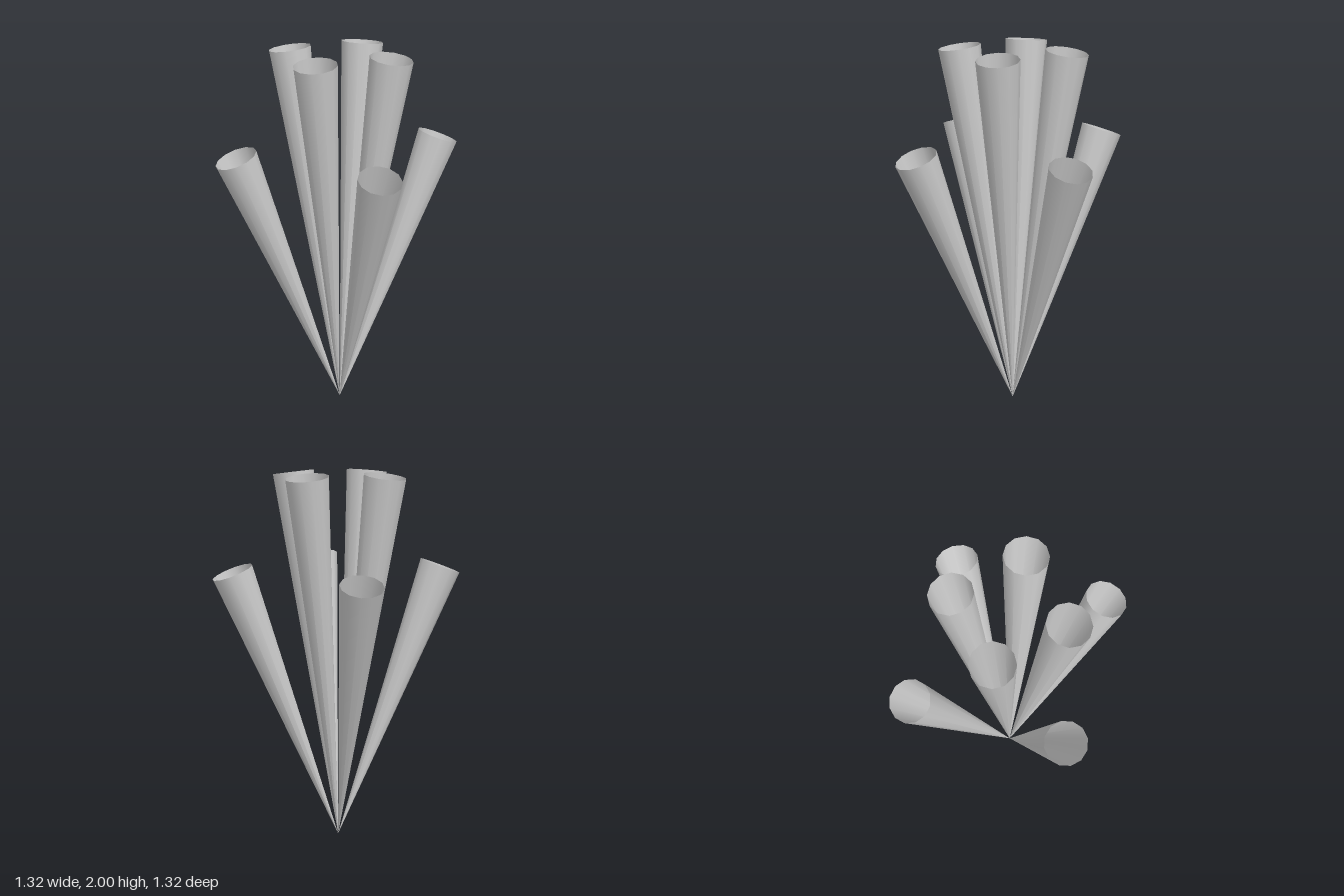
import * as THREE from 'three';

export function createModel() {
  const model = new THREE.Group();
  const material = new THREE.MeshStandardMaterial({ color: 0xcccccc, side: THREE.DoubleSide });
  const SIDES = 12;

  // Open hollow cone with its tip at the origin, leaning outwards
  function addCone(name, length, radius, lean, turn) {
    const geometry = new THREE.CylinderGeometry(radius, 0, length, SIDES, 1, true, Math.PI / SIDES);
    geometry.translate(0, length / 2, 0);
    geometry.rotateX(lean);
    geometry.rotateY(turn);
    const cone = new THREE.Mesh(geometry, material);
    cone.name = name;
    model.add(cone);
  }

  // Four tall cones on the diagonals, four shorter ones on the axes
  for (let i = 0; i < 4; i++) {
    const turn = i * Math.PI / 2;
    addCone('innerCone' + (i + 1), 2.005, 0.111, Math.atan2(0.283, 1.985), turn + Math.PI / 4);
    addCone('outerCone' + (i + 1), 1.592, 0.111, Math.atan2(0.56, 1.49), turn);
  }
  return model;
}
